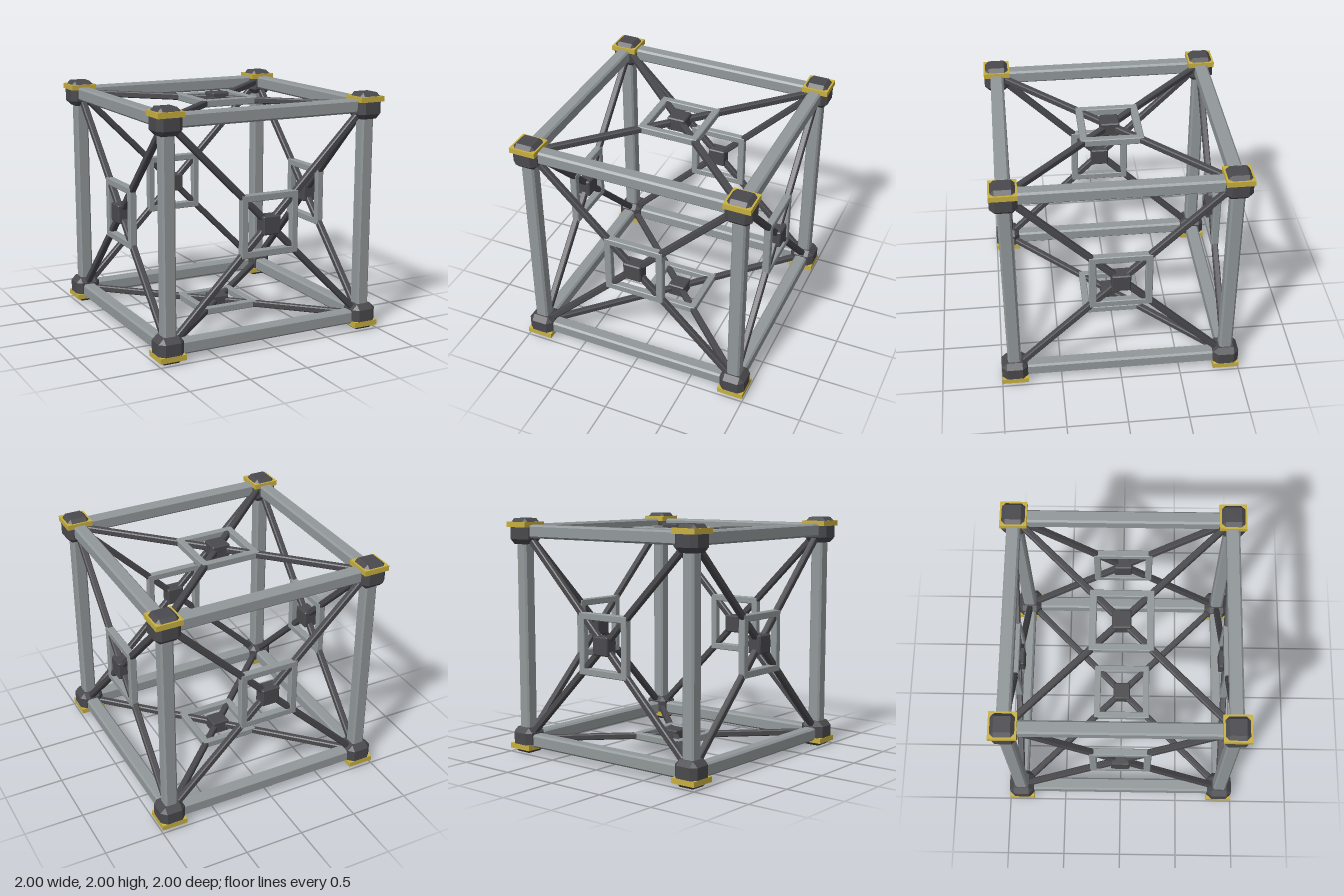
import * as THREE from 'three';
import { ConvexGeometry } from 'three/addons/geometries/ConvexGeometry.js';

const R = 0.89;          // distance of the frame axes from the centre
const CENTER_Y = 0.998;

function material(name, color) {
  const m = new THREE.MeshStandardMaterial({ color });
  m.name = name;
  return m;
}

// Box with every edge and corner cut at 45 degrees
function chamferBox(hx, hy, hz, c) {
  const points = [];
  for (const x of [-1, 1]) for (const y of [-1, 1]) for (const z of [-1, 1]) {
    points.push(
      new THREE.Vector3(x * hx, y * (hy - c), z * (hz - c)),
      new THREE.Vector3(x * (hx - c), y * hy, z * (hz - c)),
      new THREE.Vector3(x * (hx - c), y * (hy - c), z * hz));
  }
  return new ConvexGeometry(points);
}

// Bar along z with chamfered long edges
function bar(h, c, length) {
  const k = h - c;
  const section = new THREE.Shape([
    [h, -k], [h, k], [k, h], [-k, h], [-h, k], [-h, -k], [-k, -h], [k, -h],
  ].map(([x, y]) => new THREE.Vector2(x, y)));
  const geometry = new THREE.ExtrudeGeometry(section, { depth: length, bevelEnabled: false });
  return geometry.translate(0, 0, -length / 2);
}

// Square ring lying in the xy plane
function squareRing(outer, inner, depth, bevel) {
  const square = (s) => [[-s, -s], [s, -s], [s, s], [-s, s]].map(([x, y]) => new THREE.Vector2(x, y));
  const shape = new THREE.Shape(square(outer));
  shape.holes.push(new THREE.Path(square(inner).reverse()));
  const geometry = new THREE.ExtrudeGeometry(shape, {
    depth: depth - 2 * bevel, bevelEnabled: true, bevelThickness: bevel,
    bevelSize: bevel, bevelOffset: -bevel, bevelSegments: 1,
  });
  return geometry.translate(0, 0, -depth / 2 + bevel);
}

export function createModel() {
  const model = new THREE.Group();
  model.name = 'cubeFrame';
  const steel = material('steelGrey', 0x92989a);
  const dark = material('darkMetal', 0x4a4a4e);
  const yellow = material('yellowTrim', 0xc8b040);

  const frame = new THREE.Group();
  frame.position.y = CENTER_Y;
  model.add(frame);

  const add = (parent, name, geometry, mat, x = 0, y = 0, z = 0) => {
    const mesh = new THREE.Mesh(geometry, mat);
    mesh.name = name;
    mesh.position.set(x, y, z);
    parent.add(mesh);
    return mesh;
  };

  // Corner nodes with yellow collars toward the top and bottom
  const nodeGeometry = chamferBox(0.108, 0.108, 0.108, 0.043);
  const collarGeometry = new THREE.BoxGeometry(0.22, 0.044, 0.22);
  for (const x of [-R, R]) for (const y of [-R, R]) for (const z of [-R, R]) {
    add(frame, 'cornerNode', nodeGeometry, dark, x, y, z);
    add(frame, 'cornerCollar', collarGeometry, yellow, x, y + Math.sign(y) * 0.056, z);
  }

  // Twelve edge beams
  const beamGeometry = bar(0.055, 0.015, 2 * R);
  for (const a of [-R, R]) for (const b of [-R, R]) {
    add(frame, 'depthBeam', beamGeometry, steel, a, b, 0);
    add(frame, 'widthBeam', beamGeometry, steel, 0, a, b).rotation.y = Math.PI / 2;
    add(frame, 'post', beamGeometry, steel, a, 0, b).rotation.x = Math.PI / 2;
  }

  // Six faces: crossed struts, centre hub and square ring
  const strutGeometry = bar(0.026, 0.008, 2 * R * Math.SQRT2).rotateY(Math.PI / 2);
  const hubGeometry = chamferBox(0.077, 0.077, 0.058, 0.009);
  const ringGeometry = squareRing(0.256, 0.198, 0.06, 0.006);
  const q = Math.PI / 2;
  const turns = [[0, 0], [0, q], [0, 2 * q], [0, -q], [q, 0], [-q, 0]];
  for (const [rx, ry] of turns) {
    const face = new THREE.Group();
    face.name = 'facePanel';
    face.rotation.set(rx, ry, 0);
    for (const s of [-1, 1]) {
      add(face, 'diagonalStrut', strutGeometry, dark, 0, 0, R).rotation.z = s * Math.PI / 4;
    }
    add(face, 'centreHub', hubGeometry, dark, 0, 0, R);
    add(face, 'squareRing', ringGeometry, steel, 0, 0, R);
    frame.add(face);
  }
  return model;
}
